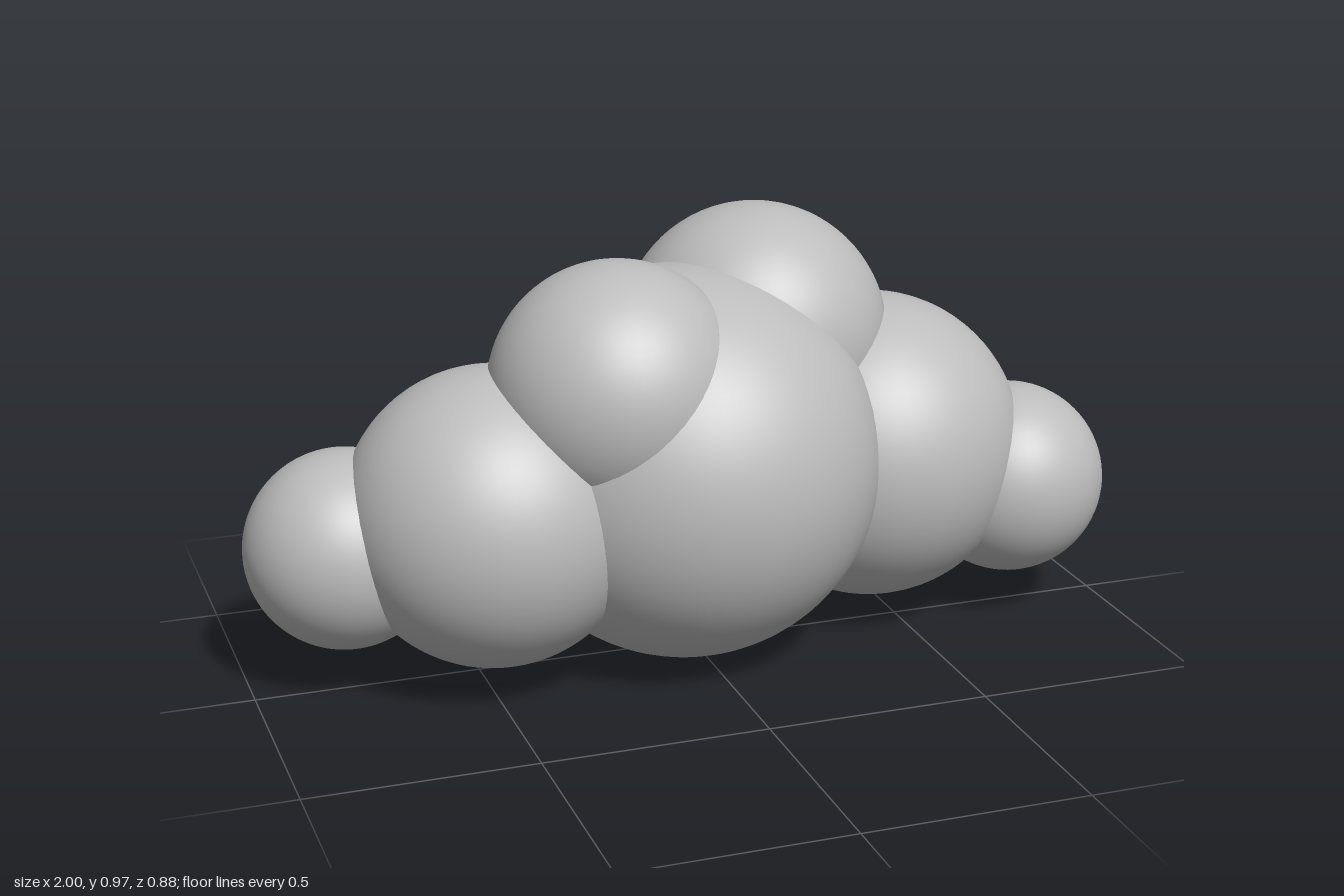
import * as THREE from 'three';

// Cloud made of overlapping smooth puffs: name, centre x, y, z, radius
const PUFFS = [
  ['centrePuff', -0.02, 0.445, 0, 0.44],
  ['leftPuff', 0.46, 0.402, -0.088, 0.352],
  ['leftEndPuff', 0.776, 0.313, 0, 0.221],
  ['rightPuff', -0.47, 0.382, 0.043, 0.33],
  ['rightEndPuff', -0.78, 0.313, -0.046, 0.22],
  ['upperLeftPuff', 0.195, 0.674, -0.139, 0.303],
  ['upperRightPuff', -0.202, 0.655, 0.092, 0.281],
];

export function createModel() {
  const cloud = new THREE.Group();
  cloud.name = 'cloud';

  const cloudGrey = new THREE.MeshStandardMaterial({ color: 0xbcbcbc });
  cloudGrey.name = 'cloudGrey';

  for (const [name, x, y, z, radius] of PUFFS) {
    const puff = new THREE.Mesh(new THREE.SphereGeometry(radius, 64, 40), cloudGrey);
    puff.name = name;
    puff.position.set(x, y, z);
    cloud.add(puff);
  }
  return cloud;
}
